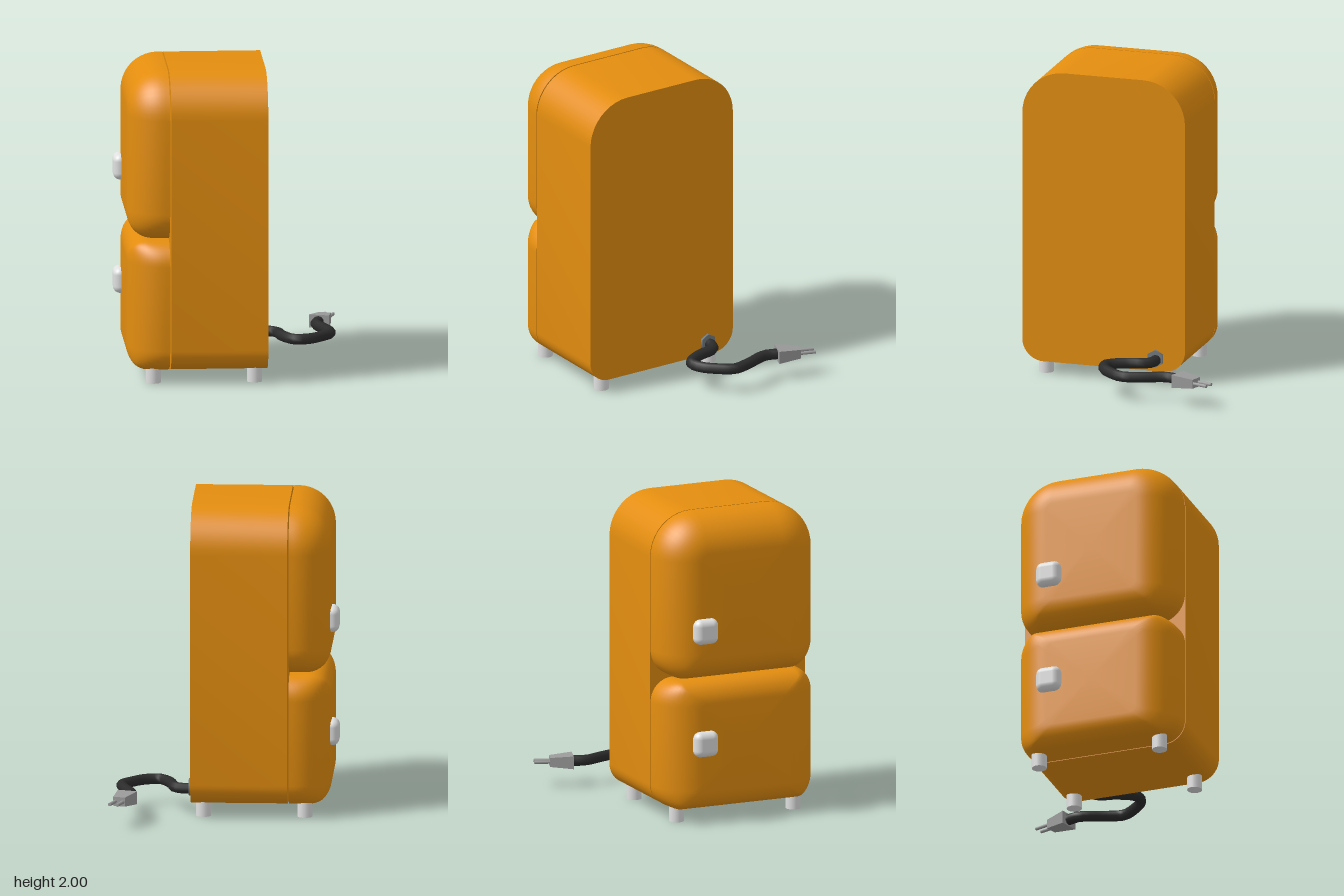
import * as THREE from 'three';
import { RoundedBoxGeometry } from 'three/addons/geometries/RoundedBoxGeometry.js';
import { toCreasedNormals } from 'three/addons/utils/BufferGeometryUtils.js';

const mat = (name, color) => {
  const m = new THREE.MeshStandardMaterial({ color });
  m.name = name;
  return m;
};

// Rounded-rectangle outline in (z, y); elliptical corner radii for top and bottom.
function outline(z0, z1, y0, y1, rzTop, ryTop, rzBot, ryBot, n = 10) {
  const pts = [];
  const corners = [
    [z1 - rzTop, y1 - ryTop, rzTop, ryTop, 0],
    [z0 + rzTop, y1 - ryTop, rzTop, ryTop, 1],
    [z0 + rzBot, y0 + ryBot, rzBot, ryBot, 2],
    [z1 - rzBot, y0 + ryBot, rzBot, ryBot, 3],
  ];
  for (const [cz, cy, rz, ry, q] of corners) {
    for (let i = 0; i <= n; i++) {
      const a = (q + i / n) * Math.PI / 2;
      pts.push([cz + rz * Math.cos(a), cy + ry * Math.sin(a)]);
    }
  }
  return pts;
}

// Loft of outlines along x, from the front (low x) to the back, with both ends closed.
function loft(layers) {
  const pos = [], idx = [], n = layers[0].pts.length;
  const addRing = ({ x, pts }) => {
    const start = pos.length / 3;
    pts.forEach(([z, y]) => pos.push(x, y, z));
    return start;
  };
  const addCentre = ({ x, pts }) => {
    const c = pts.reduce((s, p) => [s[0] + p[0] / n, s[1] + p[1] / n], [0, 0]);
    pos.push(x, c[1], c[0]);
    return pos.length / 3 - 1;
  };
  const rings = layers.map(addRing);
  for (let k = 0; k + 1 < rings.length; k++) {
    for (let i = 0; i < n; i++) {
      const j = (i + 1) % n;
      const a = rings[k] + i, b = rings[k] + j, c = rings[k + 1] + i, d = rings[k + 1] + j;
      idx.push(a, c, b, b, c, d);
    }
  }
  const front = addCentre(layers[0]);
  const last = layers[layers.length - 1];
  const back = addCentre(last);
  for (let i = 0; i < n; i++) {
    const j = (i + 1) % n, r = rings[rings.length - 1];
    idx.push(front, rings[0] + i, rings[0] + j, back, r + j, r + i);
  }
  const g = new THREE.BufferGeometry();
  g.setAttribute('position', new THREE.Float32BufferAttribute(pos, 3));
  g.setIndex(idx);
  return toCreasedNormals(g, 0.7);
}

const Z0 = -0.39, Z1 = 0.695;

// Door: its outline shrinks towards the face along quarter rounds.
function doorGeometry(y0, y1, cornerTop, cornerBot, roundTop, roundBot) {
  const x0 = -0.675, x1 = -0.41, roundSide = 0.24, steps = 14;
  const inset = (r, d) => (d >= r ? 0 : r - Math.sqrt(r * r - (r - d) ** 2));
  const layers = [];
  for (let i = 0; i <= steps; i++) {
    const d = roundSide * (1 - Math.cos((i / steps) * Math.PI / 2));
    const s = inset(roundSide, d), t = inset(roundTop, d), b = inset(roundBot, d);
    const r = (c, e) => Math.max(c - e, 0.05);
    layers.push({
      x: x0 + d,
      pts: outline(Z0 + s, Z1 - s, y0 + b, y1 - t,
        r(cornerTop, s), r(cornerTop, t), r(cornerBot, s), r(cornerBot, b)),
    });
  }
  layers.push({ x: x1, pts: outline(Z0, Z1, y0, y1, cornerTop, cornerTop, cornerBot, cornerBot) });
  return loft(layers);
}

export function createModel() {
  const model = new THREE.Group();
  model.name = 'refrigerator';
  const orange = mat('orange enamel', 0xe38d0f);
  const light = mat('light grey', 0xe0e0e0);
  const grey = mat('plug grey', 0x9a9a9a);
  const steel = mat('collar grey', 0x737a80);
  const black = mat('black rubber', 0x2b2b2b);

  const add = (name, geo, material, x = 0, y = 0, z = 0, parent = model) => {
    const m = new THREE.Mesh(geo, material);
    m.name = name;
    m.position.set(x, y, z);
    parent.add(m);
    return m;
  };

  // Cabinet and doors
  const section = outline(Z0, Z1, 0.085, 2, 0.28, 0.28, 0.14, 0.14);
  add('cabinet', loft([{ x: -0.402, pts: section }, { x: 0.215, pts: section }]), orange);
  add('upperDoor', doorGeometry(0.932, 2, 0.28, 0.18, 0.235, 0.16), orange);
  add('lowerDoor', doorGeometry(0.085, 0.921, 0.15, 0.14, 0.135, 0.13), orange);

  // Handles
  for (const [name, y] of [['upperHandle', 1.265], ['lowerHandle', 0.528]]) {
    add(name, new RoundedBoxGeometry(0.12, 0.165, 0.165, 5, 0.045), light, -0.665, y, -0.128);
  }

  // Feet
  for (const x of [-0.51, 0.135]) {
    for (const z of [-0.255, 0.56]) {
      add('foot', new THREE.CylinderGeometry(0.048, 0.048, 0.12, 20), light, x, 0.06, z);
    }
  }

  // Cord and its collar
  const cordY = 0.162;
  const collar = add('cordCollar', new THREE.CylinderGeometry(0.057, 0.057, 0.02, 6), steel, 0.222, 0.17, -0.195);
  collar.rotation.set(Math.PI / 2, 0, Math.PI / 2);
  collar.rotation.set(0, 0, Math.PI / 2);
  collar.geometry.rotateY(Math.PI / 2);
  const path = new THREE.CatmullRomCurve3([
    [0.22, -0.2], [0.28, -0.195], [0.325, -0.155], [0.35, -0.05], [0.425, 0.068], [0.52, 0.052],
    [0.595, -0.015], [0.66, -0.11], [0.64, -0.22], [0.585, -0.39], [0.612, -0.48],
  ].map(([x, z]) => new THREE.Vector3(x, cordY, z)), false, 'centripetal');
  add('cord', new THREE.TubeGeometry(path, 26, 0.035, 10), black);

  // Plug: tapered block with two prongs
  const plug = new THREE.Group();
  plug.name = 'plug';
  plug.position.set(0.634, cordY, -0.535);
  plug.rotation.y = Math.atan2(0.32, -0.95);
  model.add(plug);
  const block = new THREE.BoxGeometry(0.13, 0.084, 0.148);
  const p = block.attributes.position;
  for (let i = 0; i < p.count; i++) {
    if (p.getZ(i) > 0) p.setXY(i, p.getX(i) * 0.62, p.getY(i) * 0.7);
  }
  block.computeVertexNormals();
  add('plugBody', block, grey, 0, 0, 0, plug);
  for (const s of [-1, 1]) {
    const prong = new THREE.CylinderGeometry(0.011, 0.011, 0.11, 10).rotateX(Math.PI / 2);
    add('prong', prong, grey, s * 0.026, 0, 0.119, plug);
  }
  return model;
}
